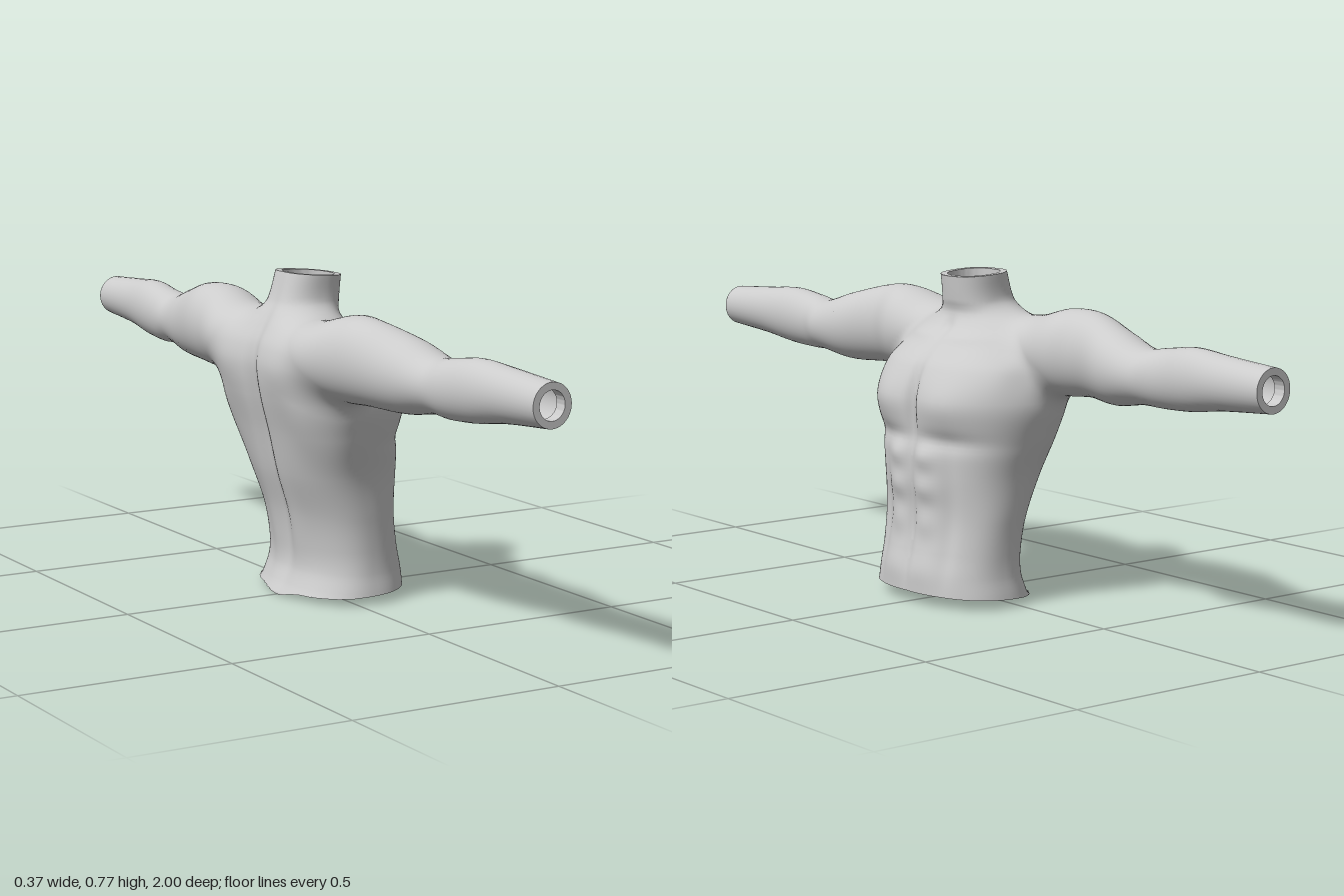
import * as THREE from 'three';
import { toCreasedNormals } from 'three/addons/utils/BufferGeometryUtils.js';

// Torso sections: y, split x, front x, back x, half width
const TORSO = [
  [0, 0.04, 0.183, -0.108, 0.21], [0.03, 0.04, 0.183, -0.09, 0.205], [0.07, 0.04, 0.18, -0.075, 0.198],
  [0.12, 0.04, 0.168, -0.075, 0.196], [0.2, 0.03, 0.158, -0.09, 0.2], [0.3, 0, 0.165, -0.125, 0.212],
  [0.4, -0.03, 0.162, -0.15, 0.243], [0.48, -0.05, 0.162, -0.17, 0.262], [0.55, -0.06, 0.14, -0.178, 0.25],
  [0.6, -0.06, 0.098, -0.168, 0.2], [0.64, -0.05, 0.058, -0.148, 0.14], [0.67, -0.04, 0.04, -0.132, 0.1],
  [0.7, -0.03, 0.045, -0.115, 0.08], [0.77, -0.02, 0.052, -0.092, 0.077],
];
// Arm sections: z, centre x, centre y, radius x, radius y
const ARM = [
  [0, -0.06, 0.58, 0.07, 0.07], [0.1, -0.07, 0.59, 0.09, 0.075], [0.2, -0.08, 0.59, 0.095, 0.085],
  [0.3, -0.07, 0.598, 0.09, 0.1], [0.38, -0.073, 0.6, 0.077, 0.097], [0.5, -0.047, 0.585, 0.077, 0.084],
  [0.6, -0.037, 0.578, 0.066, 0.063], [0.66, -0.042, 0.58, 0.056, 0.067], [0.75, -0.037, 0.588, 0.055, 0.07],
  [0.85, -0.03, 0.592, 0.052, 0.06], [1, -0.027, 0.593, 0.048, 0.049],
];
// Muscles: side (1 front, -1 back), y, z, spread y, spread z, height
const MUSCLES = [
  [1, 0.47, 0.11, 0.06, 0.09, 0.016],    // chest
  [1, 0.385, 0.1, 0.022, 0.09, -0.009],  // crease below the chest
  [1, 0.47, 0, 0.1, 0.018, -0.016],      // breastbone
  [1, 0.2, 0, 0.16, 0.012, -0.007],      // line down the belly
  [1, 0.345, 0.05, 0.03, 0.035, 0.010],  // belly muscles
  [1, 0.27, 0.05, 0.03, 0.035, 0.009],
  [1, 0.19, 0.05, 0.035, 0.035, 0.008],
  [1, 0.1, 0.05, 0.05, 0.05, 0.006],
  [1, 0.2, 0.115, 0.14, 0.02, -0.007],   // edge of the belly muscles
  [1, 0.56, 0.25, 0.06, 0.025, -0.009],  // shoulder groove
  [1, 0.62, 0.09, 0.012, 0.07, 0.006],   // collar bone
  [1, 0.635, 0, 0.02, 0.02, -0.008],     // throat notch
  [-1, 0.42, 0, 0.26, 0.025, -0.02],     // spine
  [-1, 0.15, 0.05, 0.12, 0.03, 0.007],   // lower back
  [-1, 0.55, 0.13, 0.07, 0.07, 0.012],   // shoulder blade
  [-1, 0.43, 0.17, 0.08, 0.05, 0.008],   // side of the back
];

// Smooth interpolation through a table of sections
function section(table, t) {
  const n = table.length - 1;
  t = Math.min(Math.max(t, table[0][0]), table[n][0]);
  let i = 0;
  while (i < n - 1 && t > table[i + 1][0]) i++;
  const p = table[i], q = table[i + 1], o = table[Math.max(i - 1, 0)], r = table[Math.min(i + 2, n)];
  const d = q[0] - p[0], u = (t - p[0]) / d, u2 = u * u, u3 = u2 * u;
  return p.map((v, k) => {
    const m0 = (q[k] - o[k]) / (q[0] - o[0]) * d, m1 = (r[k] - v) / (r[0] - p[0]) * d;
    return v * (2 * u3 - 3 * u2 + 1) + m0 * (u3 - 2 * u2 + u) + q[k] * (3 * u2 - 2 * u3) + m1 * (u3 - u2);
  });
}

// Signed distance, roughly, to a rounded section
function oval(a, b, ra, rb, n) {
  const r = (Math.abs(a / ra) ** n + Math.abs(b / rb) ** n) ** (1 / n);
  return r < 1e-4 ? -Math.min(ra, rb) : Math.hypot(a, b) * (1 - 1 / r);
}

// Body field: negative inside, torso and arms blended together
function field(x, y, z) {
  z = Math.abs(z);
  const [, xc, front, back, w] = section(TORSO, y);
  let torso = oval(x - xc, z, x > xc ? front - xc : xc - back, w, 2.3);
  if (Math.abs(torso) < 0.12) {
    for (const [side, my, mz, sy, sz, h] of MUSCLES) {
      const weight = THREE.MathUtils.smoothstep(side * (x - xc), 0, 0.06);
      if (weight) torso -= weight * h * Math.exp(-(((y - my) / sy) ** 2) - ((z - mz) / sz) ** 2);
    }
  }
  const [, ax, ay, rx, ry] = section(ARM, z);
  const arm = oval(x - ax, y - ay, rx, ry, 2);
  const k = 0.05, h = Math.max(k - Math.abs(torso - arm), 0) / k;
  return Math.min(torso, arm) - h * h * k / 4;
}

function gradient(p) {
  const e = 0.002;
  return new THREE.Vector3(
    field(p.x + e, p.y, p.z) - field(p.x - e, p.y, p.z),
    field(p.x, p.y + e, p.z) - field(p.x, p.y - e, p.z),
    field(p.x, p.y, p.z + e) - field(p.x, p.y, p.z - e)).divideScalar(2 * e);
}

// Open ends
const waistCut = (x, z) => 0.018 + 0.05 * x - (x < 0 ? 0.013 * Math.exp(-((z / 0.05) ** 2)) : 0);
const neckCut = (x) => 0.76 - 0.07 * (x + 0.02);

// Skin: one quad for each grid edge that crosses the surface, corners pulled onto it
function skinGeometry() {
  const h = 0.0105, min = [-0.24, -0.04, -1.04], size = [46, 82, 199];
  const step = [1, size[0], size[0] * size[1]], total = step[2] * size[2];
  const values = new Float32Array(total), ids = new Map();
  const coords = (i) => [i % size[0], Math.floor(i / step[1]) % size[1], Math.floor(i / step[2])];
  for (let i = 0; i < total; i++) {
    const c = coords(i);
    values[i] = field(...c.map((v, k) => min[k] + v * h));
  }
  const pos = [], nor = [], out = [], index = [];
  function corner(i) {
    if (ids.has(i)) return ids.get(i);
    const p = new THREE.Vector3(...coords(i).map((v, k) => min[k] + (v + 0.5) * h));
    for (let n = 0; n < 5; n++) {
      const g = gradient(p), s = field(p.x, p.y, p.z) / Math.max(g.lengthSq(), 0.1);
      p.addScaledVector(g.clampLength(0, 3), -THREE.MathUtils.clamp(s, -h, h));
    }
    const normal = gradient(p).normalize();
    const low = waistCut(p.x, p.z), high = neckCut(p.x);
    out.push(p.y < low || p.y > high || Math.abs(p.z) > 1);
    pos.push(p.x, THREE.MathUtils.clamp(p.y, low, high), THREE.MathUtils.clamp(p.z, -1, 1));
    nor.push(normal.x, normal.y, normal.z);
    ids.set(i, out.length - 1);
    return out.length - 1;
  }
  for (let i = 0; i < total; i++) {
    const c = coords(i);
    if (c.some((v, k) => v < 1 || v > size[k] - 2)) continue;
    for (let a = 0; a < 3; a++) {
      const inside = values[i] < 0;
      if (inside === values[i + step[a]] < 0) continue;
      const sb = step[(a + 1) % 3], sc = step[(a + 2) % 3];
      const q = [i - sb - sc, i - sc, i, i - sb].map(corner);
      if (q.every((v) => out[v])) continue;
      if (!inside) q.reverse();
      index.push(q[0], q[1], q[2], q[0], q[2], q[3]);
    }
  }
  const geo = new THREE.BufferGeometry();
  geo.setAttribute('position', new THREE.Float32BufferAttribute(pos, 3));
  geo.setAttribute('normal', new THREE.Float32BufferAttribute(nor, 3));
  geo.setIndex(index);
  return geo;
}

// Rim of an opening: from the skin edge inwards, then a short way into the body
function rimGeometry(at, ratio, depth) {
  const n = 64, pos = [], index = [];
  for (let j = 0; j <= n; j++) {
    const a = j / n * Math.PI * 2;
    let lo = 0, hi = 0.3;
    for (let s = 0; s < 24; s++) {
      const mid = (lo + hi) / 2;
      if (field(...at(a, mid)) < 0) lo = mid; else hi = mid;
    }
    const inner = at(a, lo * ratio);
    pos.push(...at(a, lo), ...inner, ...inner.map((v, k) => v + depth[k]));
    if (j < n) {
      for (let k = 0; k < 2; k++) {
        const p = j * 3 + k;
        index.push(p, p + 3, p + 1, p + 1, p + 3, p + 4);
      }
    }
  }
  const geo = new THREE.BufferGeometry();
  geo.setAttribute('position', new THREE.Float32BufferAttribute(pos, 3));
  geo.setIndex(index);
  return toCreasedNormals(geo, 0.8);
}

export function createModel() {
  const model = new THREE.Group();
  model.name = 'torsoWithArms';
  const material = new THREE.MeshStandardMaterial({ color: 0xcccccc, side: THREE.DoubleSide });
  const add = (name, geo) => {
    const mesh = new THREE.Mesh(geo, material);
    mesh.name = name;
    model.add(mesh);
  };
  add('skin', skinGeometry());

  // Angles run so that each rim faces out of its opening
  add('neckRim', rimGeometry((a, r) => {
    const x = -0.02 + r * Math.sin(a);
    return [x, neckCut(x), r * Math.cos(a)];
  }, 0.8, [0, -0.04, 0]));
  add('waistRim', rimGeometry((a, r) => {
    const x = 0.04 + r * Math.cos(a), z = r * Math.sin(a);
    return [x, waistCut(x, z), z];
  }, 0.87, [0, 0.03, 0]));
  for (const side of [1, -1]) {
    add(side > 0 ? 'frontWristRim' : 'backWristRim', rimGeometry(
      (a, r) => [-0.027 + side * r * Math.cos(a), 0.593 + r * Math.sin(a), side], 0.66, [0, 0, -side * 0.03]));
  }
  return model;
}
